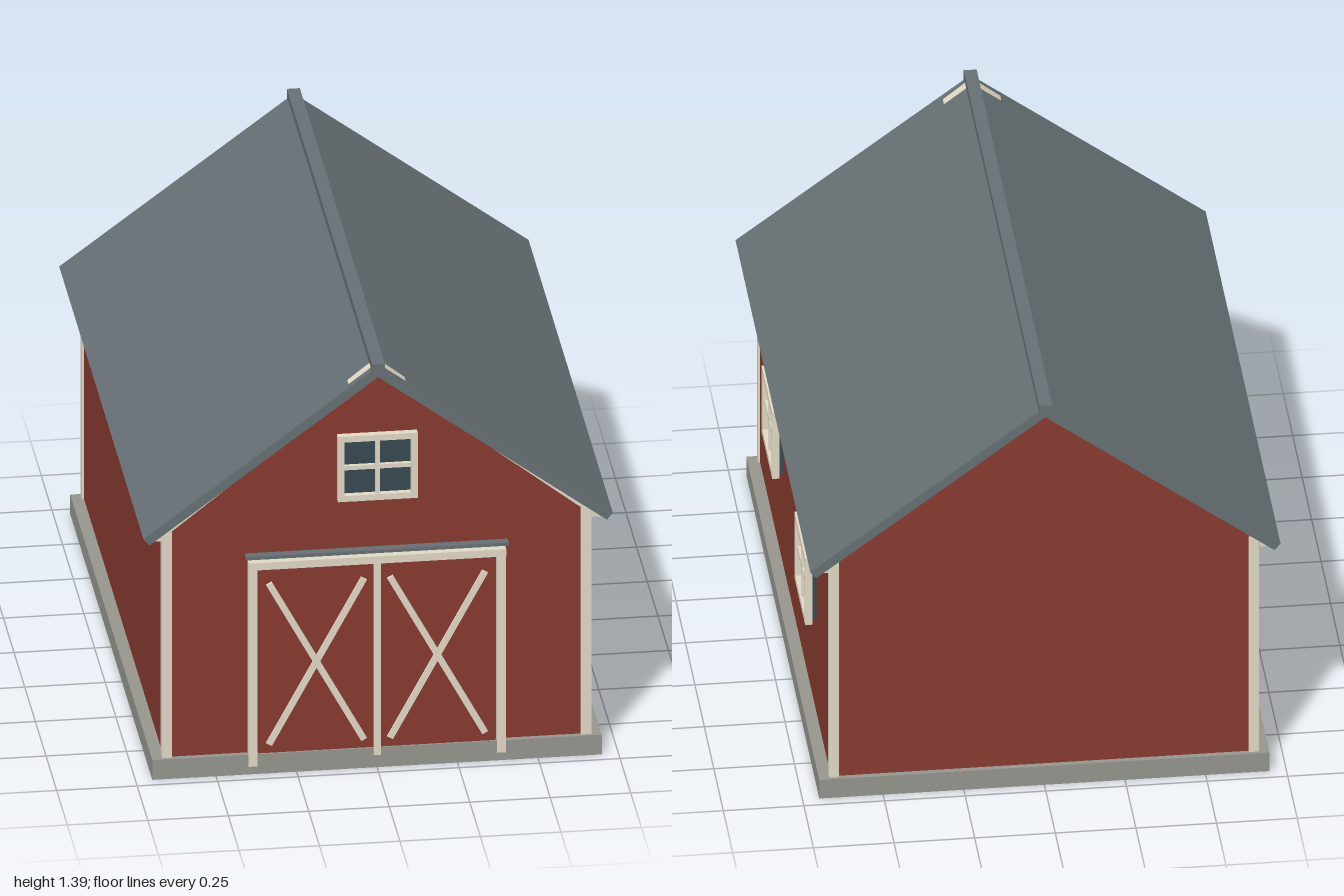
import * as THREE from 'three';

const mat = (name, color) => {
  const m = new THREE.MeshStandardMaterial({ color });
  m.name = name;
  return m;
};

export function createModel() {
  const red = mat('barn red', 0x883a30);
  const cream = mat('cream trim', 0xe2dac6);
  const slate = mat('slate roof', 0x667074);
  const stone = mat('stone base', 0x96968f);
  const glass = mat('dark glass', 0x364a51);

  const barn = new THREE.Group();
  barn.name = 'barn';

  // Box given by its limits on each axis
  const box = (parent, name, m, [x0, x1], [y0, y1], [z0, z1]) => {
    const mesh = new THREE.Mesh(new THREE.BoxGeometry(x1 - x0, y1 - y0, z1 - z0), m);
    mesh.position.set((x0 + x1) / 2, (y0 + y1) / 2, (z0 + z1) / 2);
    mesh.name = name;
    parent.add(mesh);
    return mesh;
  };

  // Outline in x and y, extruded between two z values
  const slab = (parent, name, m, points, z0, z1) => {
    const shape = new THREE.Shape(points.map(([x, y]) => new THREE.Vector2(x, y)));
    const geo = new THREE.ExtrudeGeometry(shape, { depth: z1 - z0, bevelEnabled: false });
    const mesh = new THREE.Mesh(geo, m);
    mesh.position.z = z0;
    mesh.name = name;
    parent.add(mesh);
    return mesh;
  };

  // Base and gabled walls
  box(barn, 'foundation', stone, [-0.698, 0.698], [0, 0.067], [-0.963, 0.963]);
  slab(barn, 'walls', red,
    [[-0.66, 0.06], [0.66, 0.06], [0.66, 0.848], [0, 1.34], [-0.66, 0.848]], -0.945, 0.945);

  // Roof halves, eave boards, front rake boards and corner posts
  for (const s of [-1, 1]) {
    const side = s > 0 ? 'left' : 'right';
    const flip = (pts) => pts.map(([x, y]) => [x * s, y]);
    slab(barn, side + 'Roof', slate,
      flip([[0, 1.341], [0.711, 0.811], [0.729, 0.834], [0, 1.378]]), -0.989, 0.989);
    slab(barn, side + 'RakeBoard', cream,
      flip([[0.01, 1.34], [0.655, 0.83], [0.672, 0.851], [0.01, 1.374]]), 0.935, 0.965);
    box(barn, side + 'EaveBoard', cream,
      s > 0 ? [0.668, 0.7] : [-0.7, -0.668], [0.81, 0.833], [-0.96, 0.96]);
    for (const t of [-1, 1]) {
      const post = box(barn, side + (t > 0 ? 'FrontPost' : 'BackPost'), cream,
        [-0.016, 0.016], [0.067, 0.84], [-0.014, 0.014]);
      post.position.x = s * 0.651;
      post.position.z = t * 0.939;
    }
  }
  box(barn, 'ridgeCap', slate, [-0.02, 0.02], [1.347, 1.39], [-1, 1]);

  // Double door with crossed braces
  const door = new THREE.Group();
  door.name = 'doubleDoor';
  barn.add(door);
  for (const s of [-1, 1]) {
    const panel = box(door, 'doorPanel', red, [-0.18, 0.18], [0.05, 0.698], [0.94, 0.957]);
    panel.position.x = s * 0.188;
    const jamb = box(door, 'doorJamb', cream, [-0.014, 0.014], [0.03, 0.723], [0.94, 0.972]);
    jamb.position.x = s * 0.386;
    for (const t of [-1, 1]) {
      const brace = box(door, 'doorBrace', cream, [-0.01, 0.01], [-0.311, 0.311], [0.95, 0.966 + t * 0.001]);
      brace.position.x = s * 0.188;
      brace.position.y = 0.372;
      brace.rotation.z = t * Math.atan2(0.288, 0.535);
    }
  }
  box(door, 'doorLintel', cream, [-0.4, 0.4], [0.698, 0.723], [0.94, 0.973]);
  box(door, 'doorCentrePost', cream, [-0.011, 0.011], [0.045, 0.7], [0.94, 0.971]);
  box(door, 'doorRail', slate, [-0.408, 0.408], [0.734, 0.745], [0.945, 0.973]);

  // Four-pane window facing +z, back at z = 0
  const windowUnit = (name, w, h) => {
    const g = new THREE.Group();
    g.name = name;
    const f = 0.02;
    box(g, 'glass', glass, [-w + 0.01, w - 0.01], [-h + 0.01, h - 0.01], [-0.005, 0.017]);
    for (const s of [-1, 1]) {
      const stile = box(g, 'frameSide', cream, [-f / 2, f / 2], [-h, h], [0.014, 0.037]);
      stile.position.x = s * (w - f / 2);
      const rail = box(g, 'frameRail', cream, [-w + f, w - f], [-f / 2, f / 2], [0.014, 0.037]);
      rail.position.y = s * (h - f / 2);
    }
    box(g, 'uprightBar', cream, [-0.007, 0.007], [-h + f, h - f], [0.014, 0.031]);
    box(g, 'crossBar', cream, [-w + f, w - f], [-0.007, 0.007], [0.014, 0.03]);
    barn.add(g);
    return g;
  };
  windowUnit('gableWindow', 0.124, 0.111).position.set(0, 1.03, 0.945);
  for (const z of [0.432, -0.438]) {
    const win = windowUnit('sideWindow', 0.141, 0.119);
    win.position.set(0.66, 0.512, z);
    win.rotation.y = Math.PI / 2;
  }
  return barn;
}
